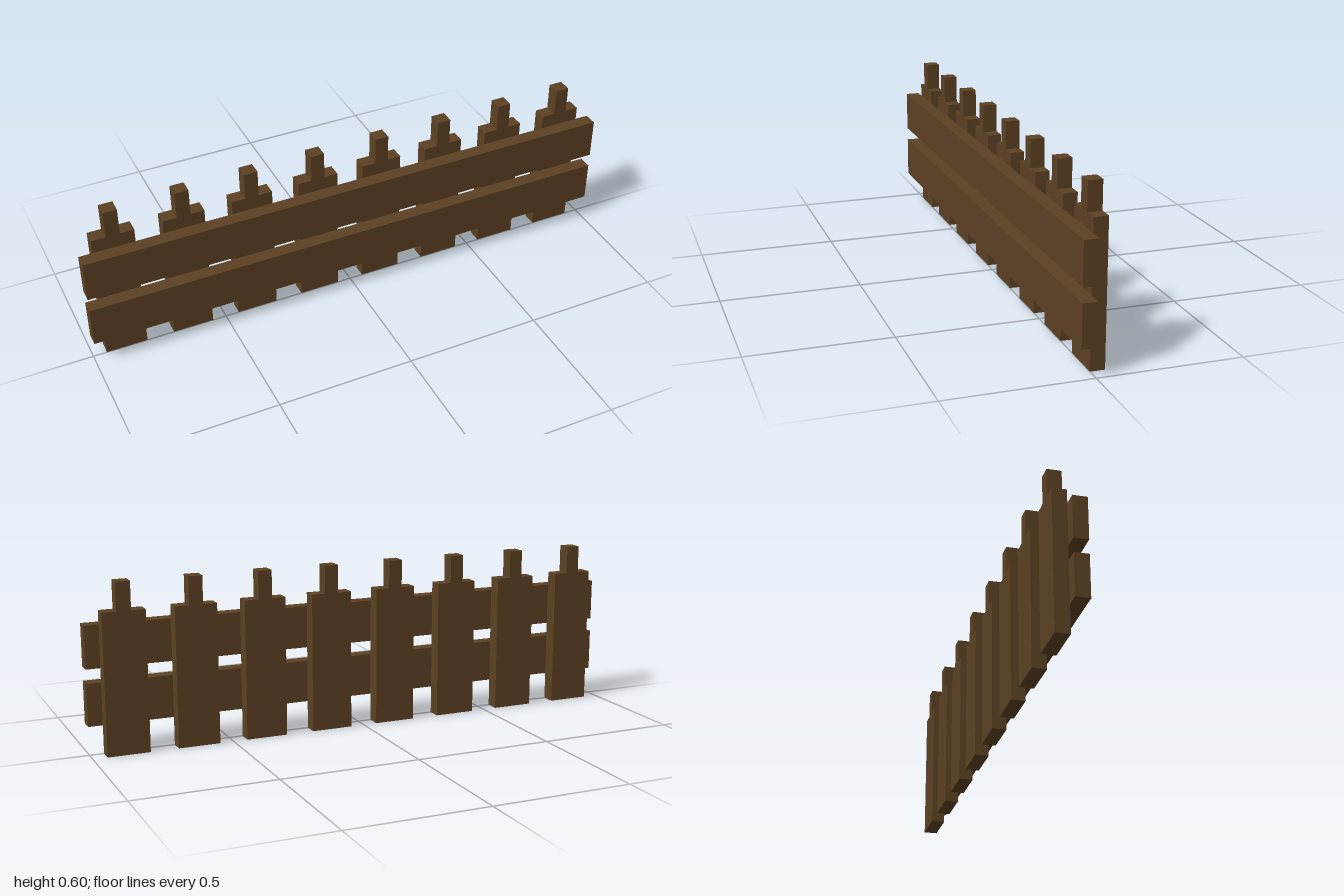
import * as THREE from 'three';

export function createModel() {
  const group = new THREE.Group();
  group.name = 'picketFence';
  const wood = new THREE.MeshStandardMaterial({ color: 0x5c4123 });
  wood.name = 'brown wood';

  const addBox = (parent, name, size, pos) => {
    const mesh = new THREE.Mesh(new THREE.BoxGeometry(...size), wood);
    mesh.name = name;
    mesh.position.set(...pos);
    parent.add(mesh);
  };

  // Two horizontal rails along the front
  addBox(group, 'lowerRail', [2, 0.15, 0.05], [0, 0.175, 0.025]);
  addBox(group, 'upperRail', [2, 0.15, 0.05], [0, 0.375, 0.025]);

  // Eight evenly spaced pickets behind the rails, each with a narrow tip
  for (let i = 0; i < 8; i++) {
    const picket = new THREE.Group();
    picket.name = `picket${i + 1}`;
    picket.position.set(-0.875 + i * 0.25, 0, -0.025);
    addBox(picket, 'board', [0.15, 0.5, 0.05], [0, 0.25, 0]);
    addBox(picket, 'tip', [0.05, 0.1, 0.05], [0, 0.55, 0]);
    group.add(picket);
  }
  return group;
}
